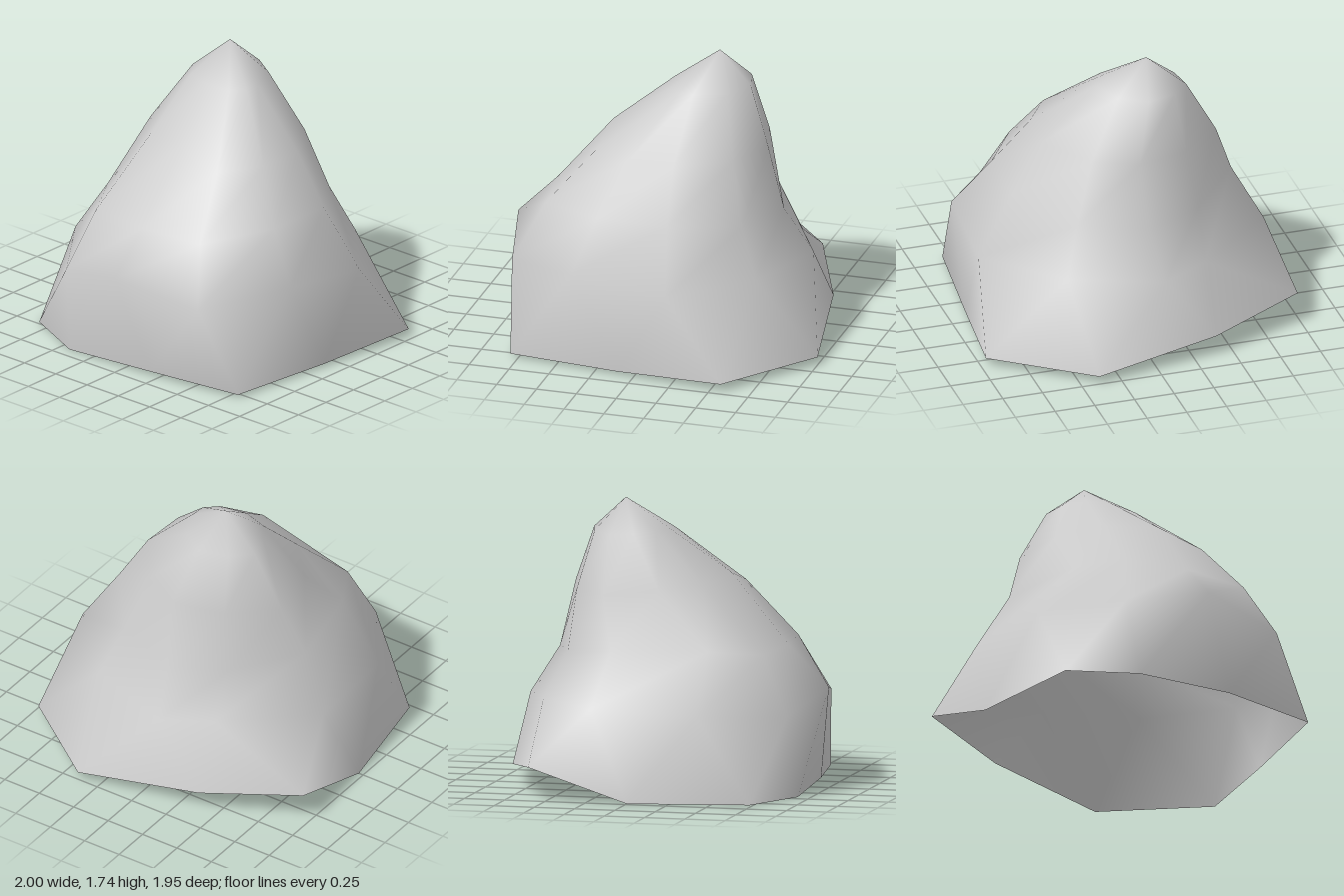
import * as THREE from 'three';

// Cross-sections from the ground rim to the shoulder of the peak.
// Each has ten [x, y, z] points, running front -> +x -> back -> -x.
const SECTIONS = [
  // uneven open rim
  [[0.57, 0.05, 0.97], [1, 0.05, 0.39], [0.86, 0.13, -0.39], [0.61, 0.2, -0.98], [0, 0, -0.97],
    [-0.73, 0, -0.84], [-0.92, 0, -0.43], [-0.9, 0.03, 0.2], [-0.8, 0.02, 0.81], [-0.1, 0.02, 0.89]],
  // bulging foot
  [[0.2, 0.54, 0.9], [0.64, 0.54, 0.48], [0.83, 0.53, -0.08], [0.67, 0.54, -0.38], [0.25, 0.55, -0.88],
    [-0.4, 0.52, -0.84], [-0.87, 0.49, -0.5], [-1, 0.61, 0], [-0.87, 0.52, 0.55], [-0.4, 0.61, 0.88]],
  // waist
  [[0.14, 0.9, 0.67], [0.52, 0.83, 0.38], [0.66, 0.81, -0.03], [0.52, 0.83, -0.38], [0.17, 0.88, -0.7],
    [-0.4, 0.88, -0.58], [-0.7, 0.85, -0.41], [-0.75, 0.86, 0], [-0.7, 0.86, 0.42], [-0.3, 0.9, 0.66]],
  // upper slope
  [[0.12, 1.21, 0.48], [0.43, 1.2, 0.26], [0.57, 1.21, 0], [0.48, 1.2, -0.32], [0.25, 1.2, -0.58],
    [-0.08, 1.23, -0.52], [-0.3, 1.25, -0.32], [-0.4, 1.28, 0], [-0.41, 1.2, 0.3], [-0.17, 1.21, 0.46]],
  // shoulder
  [[0.14, 1.55, 0.14], [0.33, 1.55, 0.06], [0.43, 1.55, -0.1], [0.38, 1.55, -0.28], [0.26, 1.54, -0.39],
    [0.12, 1.55, -0.36], [0, 1.55, -0.27], [-0.05, 1.55, -0.12], [-0.03, 1.54, 0.06], [0.05, 1.55, 0.13]],
];
const PEAK = [0.22, 1.74, -0.15];

// Joins the sections into a smooth shell, closed at the peak and open below
function loftToPeak(sections, peak) {
  const sides = sections[0].length;
  const peakIndex = sections.length * sides;
  const index = [];
  for (let row = 0; row < sections.length; row++) {
    for (let i = 0; i < sides; i++) {
      const next = (i + 1) % sides;
      const a = row * sides + i;
      const b = row * sides + next;
      if (row === sections.length - 1) index.push(a, b, peakIndex);
      else index.push(a, b, b + sides, a, b + sides, a + sides);
    }
  }
  const geometry = new THREE.BufferGeometry();
  const positions = [...sections.flat(), peak].flat();
  geometry.setAttribute('position', new THREE.Float32BufferAttribute(positions, 3));
  geometry.setIndex(index);
  geometry.computeVertexNormals();
  return geometry;
}

export function createModel() {
  const group = new THREE.Group();
  group.name = 'rock';
  const material = new THREE.MeshStandardMaterial({ color: 0xcccccc, side: THREE.DoubleSide });

  // Hollow boulder shell
  const shell = new THREE.Mesh(loftToPeak(SECTIONS, PEAK), material);
  shell.name = 'rockShell';
  group.add(shell);
  return group;
}
